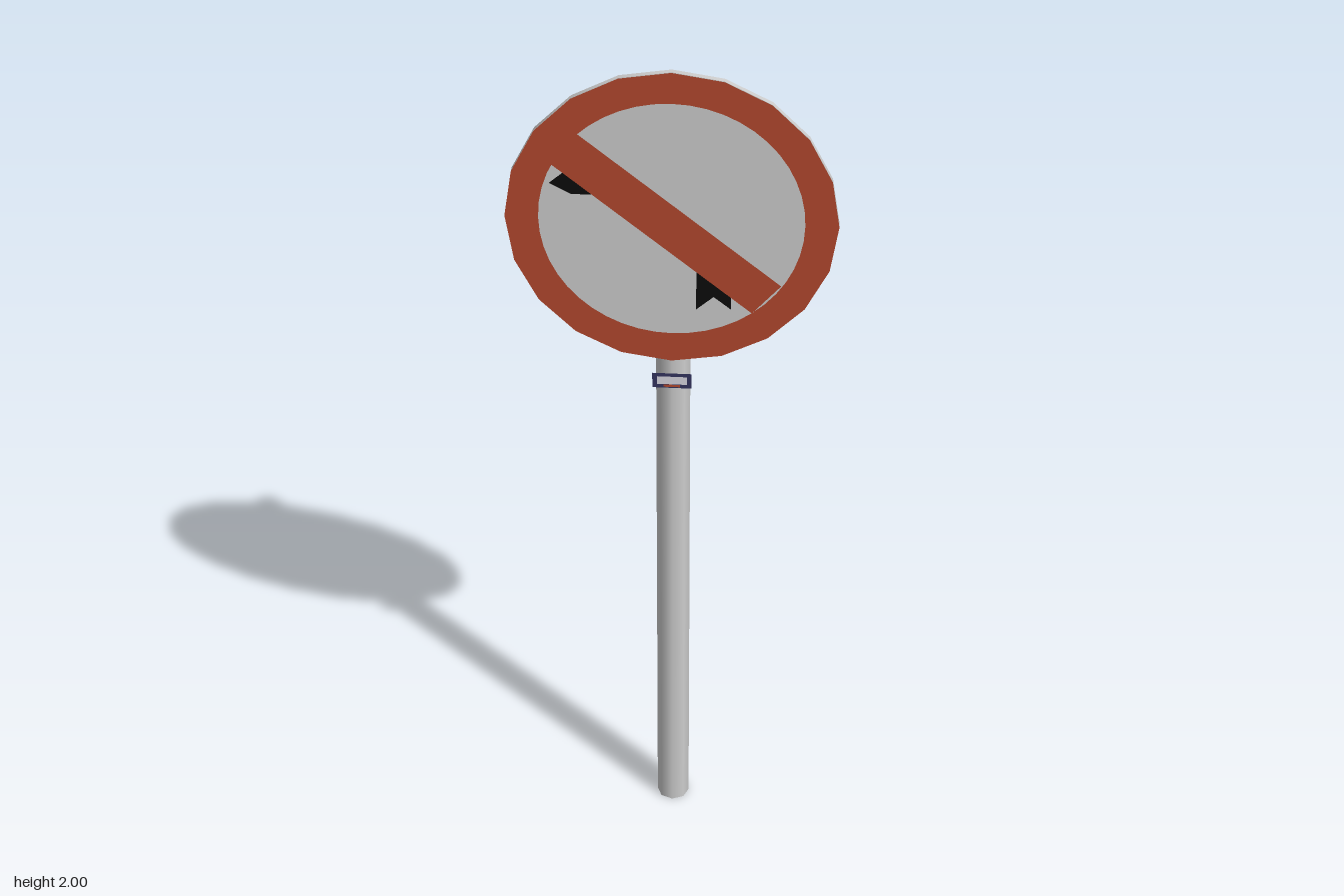
import * as THREE from 'three';

const mat = (name, color, side = THREE.FrontSide) => {
  const m = new THREE.MeshStandardMaterial({ color, side });
  m.name = name;
  return m;
};

export function createModel() {
  const grey = mat('light grey metal', 0xcccccc);
  const red = mat('sign red', 0xb2472d);
  const black = mat('arrow black', 0x0c0c0c);
  const navy = mat('tag navy', 0x34345f, THREE.DoubleSide);
  const white = mat('tag white', 0xd8d6e0);

  const model = new THREE.Group();
  model.name = 'roadSign';
  const add = (name, geometry, material, x, y, z, parent = model) => {
    const mesh = new THREE.Mesh(geometry, material);
    mesh.name = name;
    mesh.position.set(x, y, z);
    parent.add(mesh);
    return mesh;
  };
  const flat = (points) =>
    new THREE.ShapeGeometry(new THREE.Shape(points.map(([x, y]) => new THREE.Vector2(x, y))));

  // Eight-sided pole, behind the sign
  add('pole', new THREE.CylinderGeometry(0.0375, 0.0375, 1.91, 8), grey, 0, 0.955, -0.0145);

  // Twenty-sided sign plate
  const R = 0.351, signY = 1.65;
  const disc = new THREE.CylinderGeometry(R, R, 0.0125, 20).rotateX(Math.PI / 2);
  add('signPlate', disc, grey, 0, signY, 0.034);

  // Red border: outline follows the plate, round hole inside
  const outline = [];
  for (let i = 0; i < 20; i++) {
    const a = (i / 20) * Math.PI * 2;
    outline.push(new THREE.Vector2(R * Math.cos(a), R * Math.sin(a)));
  }
  const border = new THREE.Shape(outline);
  border.holes.push(new THREE.Path().absarc(0, 0, 0.28, 0, Math.PI * 2, true));
  add('signBorder', new THREE.ShapeGeometry(border, 24), red, 0, signY, 0.0425);

  // Turn arrow, mostly covered by the diagonal bar
  add('arrowHead', flat([[-0.255, 1.735], [-0.21, 1.71], [-0.15, 1.71], [-0.15, 1.77], [-0.215, 1.77]]),
    black, 0, 0, 0.045);
  add('arrowTail', flat([[0.053, 1.435], [0.09, 1.468], [0.127, 1.438], [0.127, 1.55], [0.053, 1.57]]),
    black, 0, 0, 0.045);

  // Diagonal prohibition bar
  add('diagonalBar', flat([[-0.26, 1.79], [0.172, 1.432], [0.233, 1.503], [-0.2, 1.86]]),
    red, 0, 0, 0.048);

  // Small tag on the pole
  const tag = new THREE.Group();
  tag.name = 'tag';
  tag.position.set(0, 1.235, 0.0265);
  model.add(tag);
  add('tagPlate', new THREE.PlaneGeometry(0.086, 0.038), navy, 0, 0, 0, tag);
  add('tagPanel', new THREE.PlaneGeometry(0.066, 0.02), white, 0, 0.001, 0.001, tag);
  add('tagStripe', new THREE.PlaneGeometry(0.036, 0.006), red, 0, -0.013, 0.001, tag);

  return model;
}
